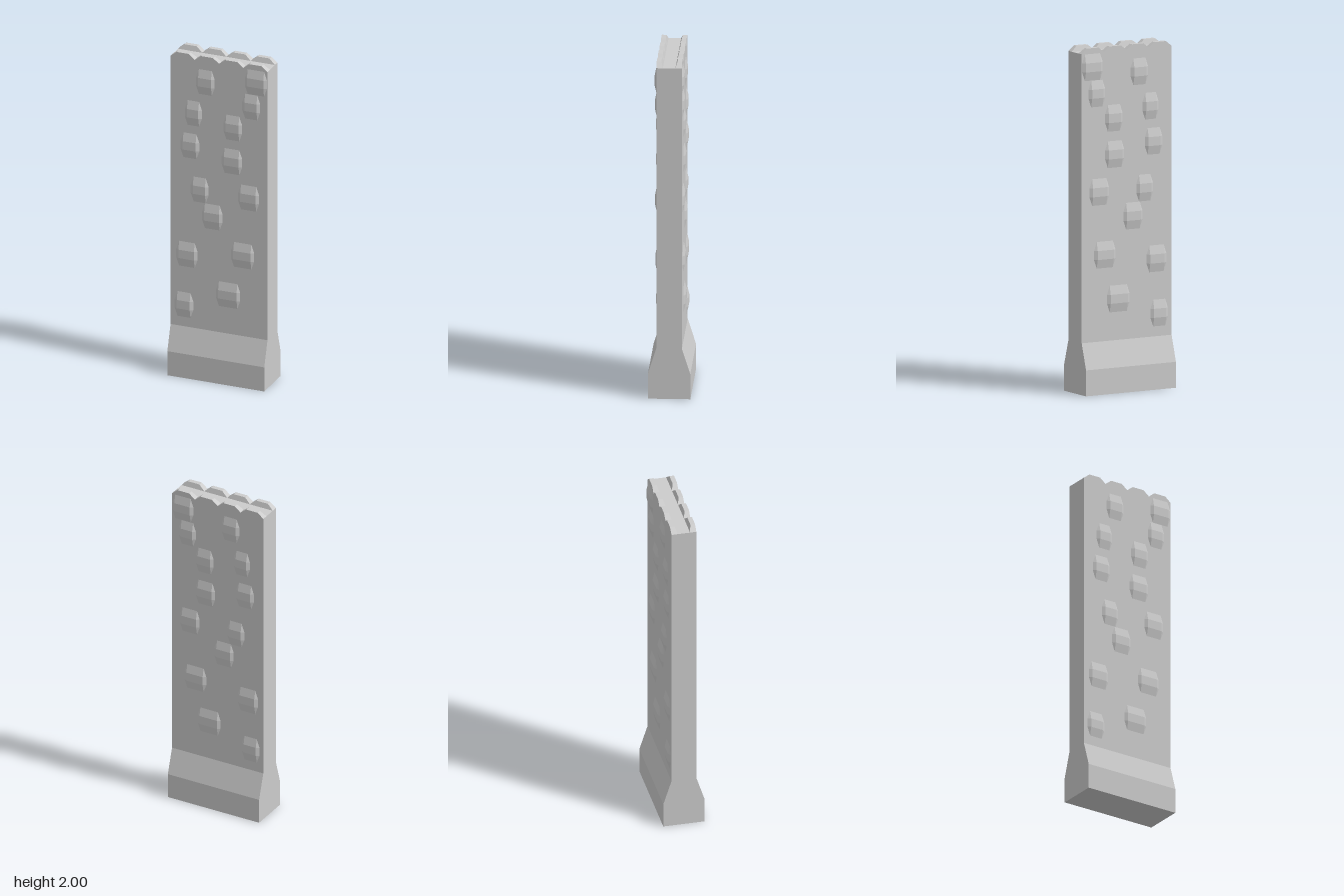
import * as THREE from 'three';

const material = new THREE.MeshStandardMaterial({ color: 0xcccccc, flatShading: true });
const WALL = 0.073; // half thickness of the slab
const FLOOR = 1.97; // height of the groove along the top

// Raised stones: centre x, centre y, width
const STONES = [
  [-0.085, 1.84, 0.116], [0.228, 1.89, 0.137], [0.199, 1.735, 0.111], [-0.159, 1.635, 0.106],
  [0.085, 1.585, 0.116], [-0.18, 1.43, 0.116], [0.08, 1.375, 0.127], [-0.12, 1.165, 0.111],
  [0.183, 1.165, 0.13], [-0.042, 1.01, 0.127], [-0.199, 0.75, 0.132], [0.146, 0.8, 0.143],
  [0.056, 0.54, 0.15], [-0.217, 0.435, 0.116],
];

function mesh(name, geometry) {
  const m = new THREE.Mesh(geometry, material);
  m.name = name;
  return m;
}

// Stone: flat face with four bevels and cut corners, base on z = 0
function stoneGeometry(width) {
  const a = width / 2, b = a - 0.018, h = 0.077, k = 0.026, d = 0.0115;
  const points = [
    [b, h, 0], [-b, h, 0], [-a, k, 0], [-a, -k, 0], [-b, -h, 0], [b, -h, 0], [a, -k, 0], [a, k, 0],
    [b, k, d], [-b, k, d], [-b, -k, d], [b, -k, d],
  ];
  const index = [8, 9, 10, 8, 10, 11];
  for (let i = 0; i < 4; i++) {
    const p = 2 * i, q = p + 1, next = (p + 2) % 8;
    const u = 8 + i, v = 8 + (i + 1) % 4;
    index.push(p, q, v, p, v, u, q, next, v);
  }
  const g = new THREE.BufferGeometry();
  g.setAttribute('position', new THREE.Float32BufferAttribute(points.flat(), 3));
  g.setIndex(index);
  const flat = g.toNonIndexed();
  flat.computeVertexNormals();
  return flat;
}

// Crest tooth: trapezoid whose inner side leans toward the groove
function toothGeometry() {
  const s = new THREE.Shape([[-0.075, 0], [0.075, 0], [0.0375, 0.03], [-0.0375, 0.03]]
    .map(([x, y]) => new THREE.Vector2(x, y)));
  const g = new THREE.ExtrudeGeometry(s, { depth: WALL - 0.046, bevelEnabled: false });
  const pos = g.attributes.position;
  for (let i = 0; i < pos.count; i++) {
    if (pos.getZ(i) < 0.001 && pos.getY(i) < 0.01) pos.setZ(i, -0.01);
  }
  g.computeVertexNormals();
  return g;
}

export function createModel() {
  const model = new THREE.Group();
  model.name = 'wallSegment';

  // Slab with flared foot, extruded across x
  const right = [[0.121, 0], [0.121, 0.15], [WALL, 0.3], [WALL, FLOOR]];
  const left = right.map(([z, y]) => [-z, y]).reverse();
  const outline = new THREE.Shape([...right, ...left].map(([z, y]) => new THREE.Vector2(z, y)));
  const slab = new THREE.ExtrudeGeometry(outline, { depth: 0.6, bevelEnabled: false });
  slab.translate(0, 0, -0.3).rotateY(-Math.PI / 2);
  model.add(mesh('slab', slab));

  // Stones and crest on both faces
  for (const side of [1, -1]) {
    const face = new THREE.Group();
    face.name = side > 0 ? 'frontFace' : 'backFace';
    for (const [x, y, width] of STONES) {
      const stone = mesh('stone', stoneGeometry(width));
      stone.position.set(side * x, y, WALL);
      face.add(stone);
    }
    for (let i = 0; i < 4; i++) {
      const tooth = mesh('crestTooth', toothGeometry());
      tooth.position.set(-0.225 + i * 0.15, FLOOR, 0.046);
      face.add(tooth);
    }
    if (side < 0) face.rotation.y = Math.PI;
    model.add(face);
  }
  return model;
}
